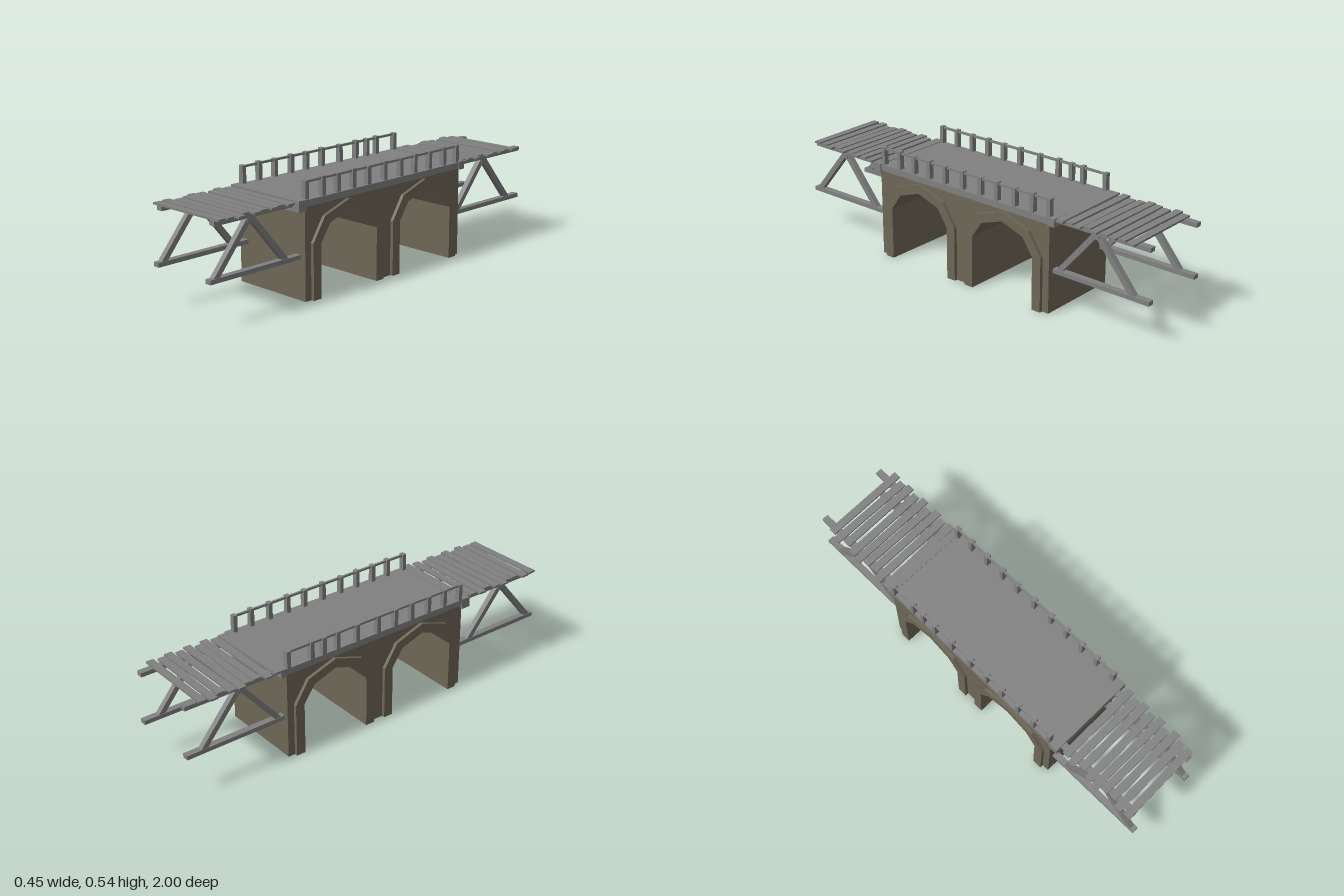
import * as THREE from 'three';

const wood = new THREE.MeshStandardMaterial({ name: 'grey wood', color: 0x808080 });
const stone = new THREE.MeshStandardMaterial({ name: 'brown stone', color: 0x6e6757 });

function add(parent, name, geometry, material) {
  const mesh = new THREE.Mesh(geometry, material);
  mesh.name = name;
  parent.add(mesh);
  return mesh;
}

// Box given by its min and max on each axis
function box(parent, name, [x0, x1], [y0, y1], [z0, z1], material = wood) {
  const mesh = add(parent, name, new THREE.BoxGeometry(x1 - x0, y1 - y0, z1 - z0), material);
  mesh.position.set((x0 + x1) / 2, (y0 + y1) / 2, (z0 + z1) / 2);
  return mesh;
}

// Square beam between two (z, y) points at a given x
function beam(parent, name, x, a, b, width, thick) {
  const dz = b[0] - a[0], dy = b[1] - a[1];
  const mesh = add(parent, name, new THREE.BoxGeometry(width, thick, Math.hypot(dz, dy)), wood);
  mesh.position.set(x, (a[1] + b[1]) / 2, (a[0] + b[0]) / 2);
  mesh.rotation.x = -Math.atan2(dy, dz);
  return mesh;
}

// Extrude a (z, y) outline across x from x0 to x1
function profile(points, x0, x1) {
  const shape = new THREE.Shape(points.map(([z, y]) => new THREE.Vector2(z, y)));
  const g = new THREE.ExtrudeGeometry(shape, { depth: x1 - x0, bevelEnabled: false });
  return g.rotateY(-Math.PI / 2).translate(x1, 0, 0);
}

// Arch outlines relative to the arch centre
const inner = [[-0.172, 0], [-0.172, 0.25], [-0.117, 0.33], [0, 0.37], [0.117, 0.33], [0.172, 0.25], [0.172, 0]];
const outer = [[-0.218, 0], [-0.218, 0.257], [-0.148, 0.365], [0, 0.415], [0.148, 0.365], [0.218, 0.257], [0.218, 0]];
const shift = (pts, c) => pts.map(([z, y]) => [z + c, y]);
const archCentres = [-0.248, 0.248];

function masonry() {
  const g = new THREE.Group();
  g.name = 'stoneBase';
  const outline = [[-0.5, 0], ...shift(inner, archCentres[0]), ...shift(inner, archCentres[1]),
    [0.5, 0], [0.5, 0.425], [-0.5, 0.425]];
  add(g, 'archedWall', profile(outline, -0.208, 0.208), stone);
  // Raised stone surrounds on both sides of each arch
  for (const c of archCentres) {
    const ring = [...shift(outer, c), ...shift(inner, c).reverse()];
    add(g, 'archSurroundLeft', profile(ring, 0.205, 0.224), stone);
    add(g, 'archSurroundRight', profile(ring, -0.224, -0.205), stone);
  }
  return g;
}

function deck() {
  const g = new THREE.Group();
  g.name = 'deck';
  box(g, 'deckSlab', [-0.212, 0.212], [0.42, 0.45], [-0.5, 0.5]);
  box(g, 'frontEndBeam', [-0.217, 0.217], [0.404, 0.453], [0.495, 0.542]);
  box(g, 'backEndBeam', [-0.212, 0.215], [0.415, 0.453], [-0.53, -0.495]);
  const last = box(g, 'backEndPlank', [-0.2, 0.21], [0.44, 0.45], [-0.565, -0.53]);
  last.rotation.y = 0.02;
  return g;
}

function railing(name, x, posts) {
  const g = new THREE.Group();
  g.name = name;
  posts.forEach((z, i) => {
    const h = 0.533 + 0.003 * (i % 2);
    box(g, 'railPost', [x - 0.0125, x + 0.0125], [0.445, h], [z - 0.01, z + 0.01]);
  });
  box(g, 'handRail', [x - 0.005, x + 0.005], [0.521, 0.531], [-0.49, 0.485]);
  return g;
}

// Wooden extension: two trusses carrying loose planks
function extension(name, offset) {
  const g = new THREE.Group();
  g.name = name;
  for (const x of [-0.172, 0.165]) {
    const w = [x - 0.0155, x + 0.0155];
    box(g, 'lowerBeam', w, [0.185, 0.205], [0.497, 0.998]);
    box(g, 'upperBeam', w, [0.424, 0.444], [0.5, 0.97]);
    box(g, 'trussJoint', w, [0.405, 0.438], [0.757, 0.792]);
    beam(g, 'outerStrut', x, [0.968, 0.198], [0.784, 0.418], 0.026, 0.025);
    beam(g, 'innerStrut', x, [0.58, 0.198], [0.764, 0.418], 0.026, 0.025);
  }
  // z centre, x min, x max, yaw of each plank
  const planks = [
    [0.58, -0.2, 0.212, 0.005], [0.628, -0.217, 0.2, -0.008], [0.672, -0.195, 0.213, 0.004],
    [0.722, -0.21, 0.2, 0.012], [0.767, -0.218, 0.214, 0], [0.81, -0.2, 0.19, -0.01],
    [0.853, -0.195, 0.214, 0.004], [0.9, -0.218, 0.198, 0.006], [0.949, -0.212, 0.198, 0.02],
  ];
  planks.forEach(([z, x0, x1, yaw], i) => {
    const lift = 0.001 * (i % 3);
    const p = box(g, 'plank', [x0, x1], [0.442 + lift, 0.451 + lift], [z - 0.018, z + 0.018]);
    p.rotation.y = yaw;
  });
  g.position.z = offset;
  return g;
}

export function createModel() {
  const model = new THREE.Group();
  model.name = 'bridge';
  model.add(
    masonry(),
    deck(),
    railing('leftRailing', 0.195, [0.485, 0.385, 0.295, 0.2, 0.105, 0, -0.105, -0.2, -0.3, -0.4, -0.49]),
    railing('rightRailing', -0.203, [0.485, 0.39, 0.295, 0.195, 0.1, 0, -0.117, -0.225, -0.3, -0.365, -0.49]),
    extension('frontExtension', 0),
    extension('backExtension', -1.495),
  );
  return model;
}
